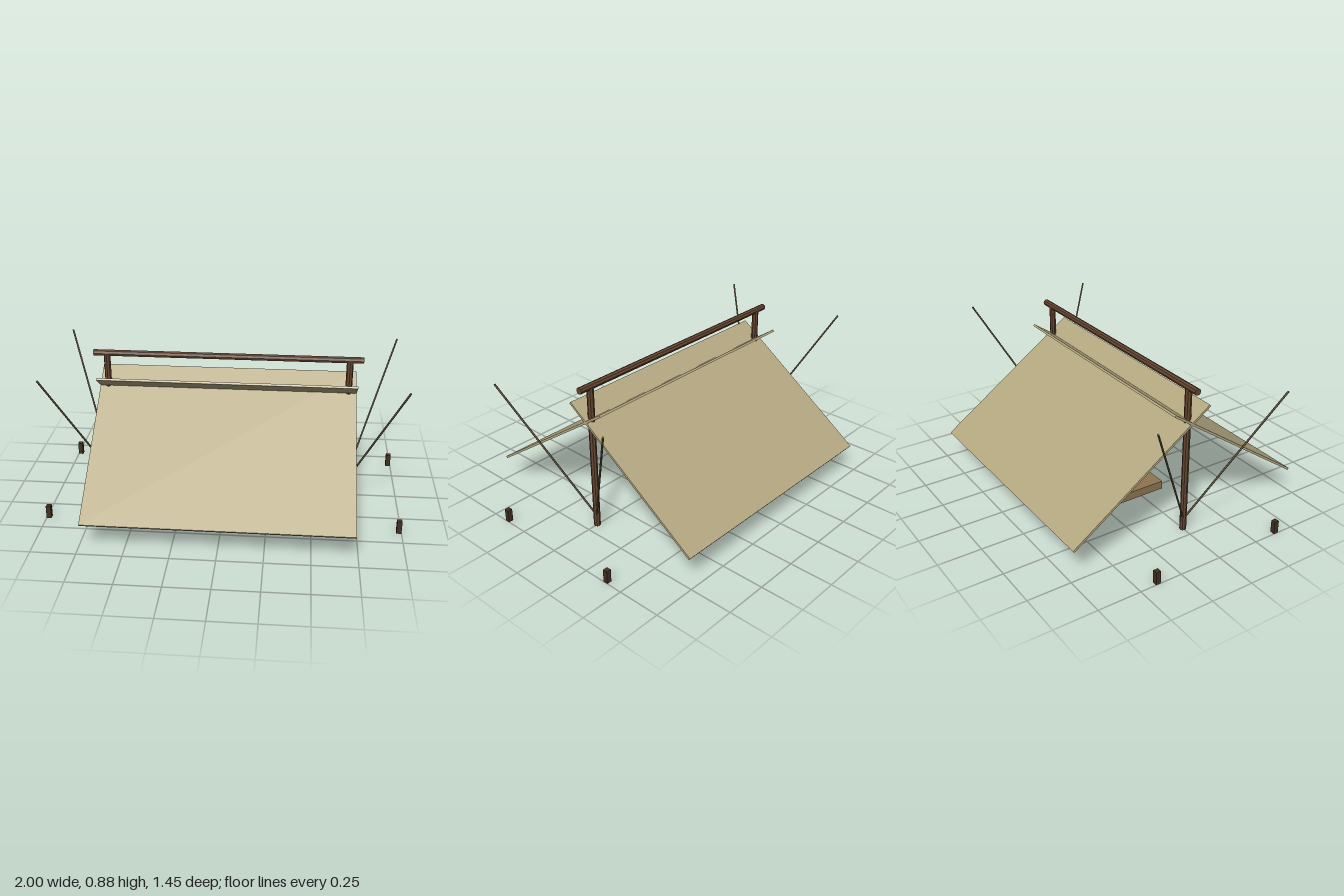
import * as THREE from 'three';

const mat = (color) => new THREE.MeshStandardMaterial({ color, flatShading: true });

export function createModel() {
  const group = new THREE.Group();
  const wood = mat(0x64452f);
  const darkWood = mat(0x43301f);
  const cloth = mat(0xb5a882);
  const rope = mat(0x7a6a4c);
  const bedding = mat(0x8f7450);

  const add = (name, geometry, material, x, y, z) => {
    const mesh = new THREE.Mesh(geometry, material);
    mesh.name = name;
    mesh.position.set(x, y, z);
    group.add(mesh);
    return mesh;
  };

  // Round bar between two points
  const bar = (name, from, to, radius, sides, material) => {
    const a = new THREE.Vector3(...from);
    const b = new THREE.Vector3(...to);
    const dir = b.clone().sub(a);
    const mid = a.clone().add(b).multiplyScalar(0.5);
    const geometry = new THREE.CylinderGeometry(radius, radius, dir.length(), sides);
    const mesh = add(name, geometry, material, mid.x, mid.y, mid.z);
    mesh.quaternion.setFromUnitVectors(new THREE.Vector3(0, 1, 0), dir.normalize());
  };

  // Ridge pole resting on two posts
  bar('ridgePole', [-0.76, 0.86, 0], [0.76, 0.86, 0], 0.019, 8, wood);
  for (const sx of [-1, 1]) {
    bar('post', [sx * 0.685, 0, 0], [sx * 0.685, 0.86, 0], 0.019, 8, wood);
  }

  // Two sloping cloth panels that cross below the ridge
  for (const sz of [-1, 1]) {
    const panel = add('clothPanel', new THREE.BoxGeometry(1.46, 0.013, 1.014), cloth, 0, 0.452, sz * 0.304);
    panel.rotation.x = sz * THREE.MathUtils.degToRad(35);
  }

  // Guy ropes and ground stakes at the four corners
  for (const sx of [-1, 1]) {
    for (const sz of [-1, 1]) {
      bar('guyRope', [sx * 0.687, 0.065, 0], [sx * 0.978, 0.845, sz * 0.403], 0.0055, 6, rope);
      add('stake', new THREE.BoxGeometry(0.028, 0.075, 0.028), darkWood, sx * 0.986, 0.0375, sz * 0.393);
    }
  }

  // Bed mat on the ground
  add('bedMat', new THREE.BoxGeometry(0.39, 0.05, 0.39), bedding, -0.1, 0.025, -0.05);

  return group;
}
